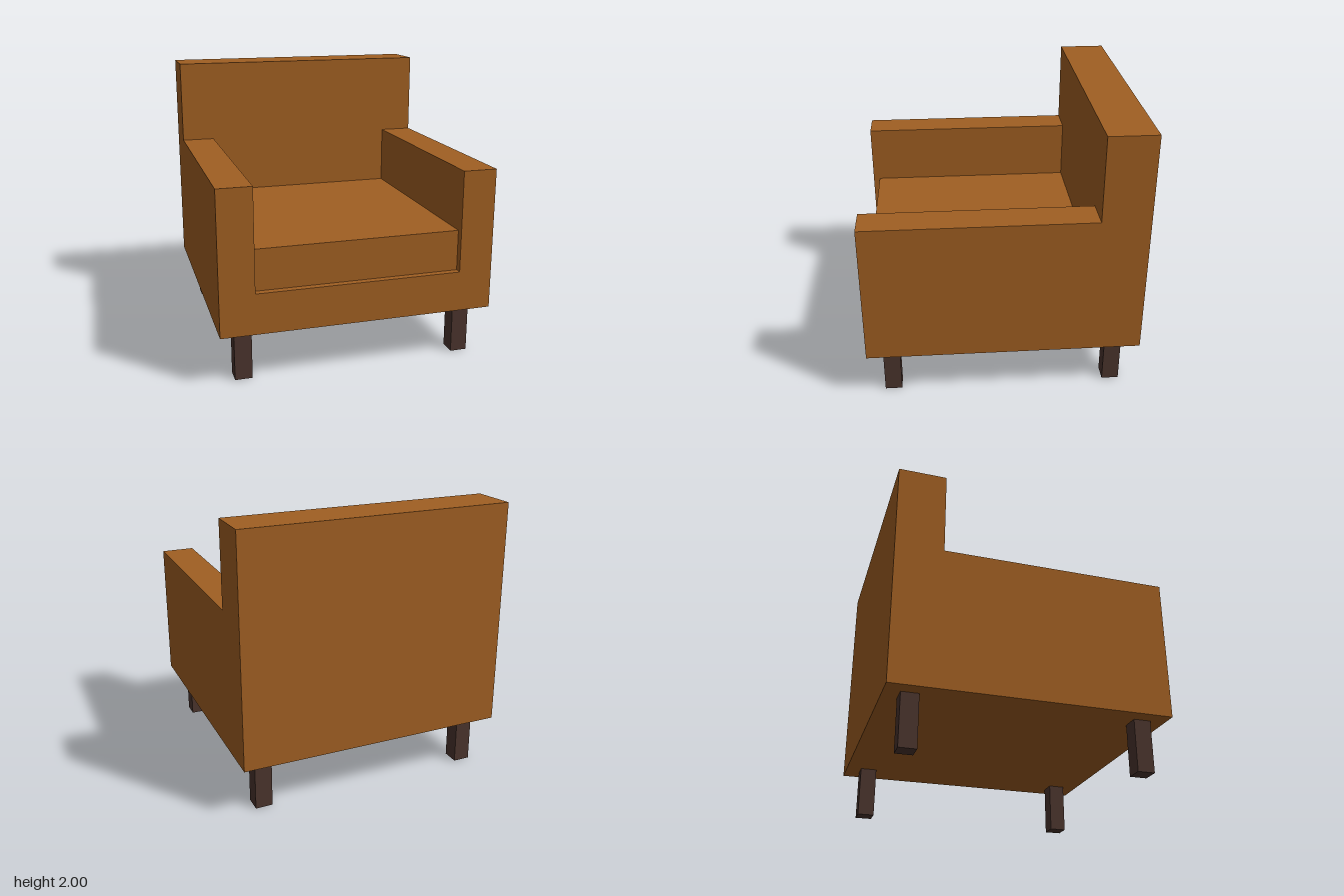
import * as THREE from 'three';

export function createModel() {
  const group = new THREE.Group();
  group.name = 'armchair';

  const upholstery = new THREE.MeshStandardMaterial({ color: 0xa05f22 });
  upholstery.name = 'tan upholstery';
  const wood = new THREE.MeshStandardMaterial({ color: 0x4a342d });
  wood.name = 'dark wood';

  const half = 0.975, bottom = 0.37, backFront = -0.635;

  const add = (name, geometry, material, x, y, z) => {
    const mesh = new THREE.Mesh(geometry, material);
    mesh.name = name;
    mesh.position.set(x, y, z);
    group.add(mesh);
  };
  // Box given by its minimum and maximum corners
  const box = (name, material, [x0, y0, z0], [x1, y1, z1]) =>
    add(name, new THREE.BoxGeometry(x1 - x0, y1 - y0, z1 - z0), material,
      (x0 + x1) / 2, (y0 + y1) / 2, (z0 + z1) / 2);

  // Base and both arms: one U-shaped section running front to back
  const section = new THREE.Shape([
    [-half, bottom], [half, bottom], [half, 1.39], [0.732, 1.39],
    [0.732, 0.66], [-0.732, 0.66], [-0.732, 1.39], [-half, 1.39],
  ].map(([x, y]) => new THREE.Vector2(x, y)));
  add('baseAndArms',
    new THREE.ExtrudeGeometry(section, { depth: half - backFront, bevelEnabled: false }),
    upholstery, 0, 0, backFront);

  // Backrest and seat cushion
  box('backrest', upholstery, [-half, bottom, -half], [half, 2, backFront]);
  box('seatCushion', upholstery, [-0.732, 0.66, backFront], [0.732, 0.953, 0.925]);

  // Four square legs
  for (const [sz, end] of [[1, 'front'], [-1, 'back']]) {
    for (const [sx, side] of [[1, 'Left'], [-1, 'Right']]) {
      add(`${end}${side}Leg`, new THREE.BoxGeometry(0.122, bottom, 0.122), wood,
        sx * 0.804, bottom / 2, sz * 0.804);
    }
  }

  return group;
}
